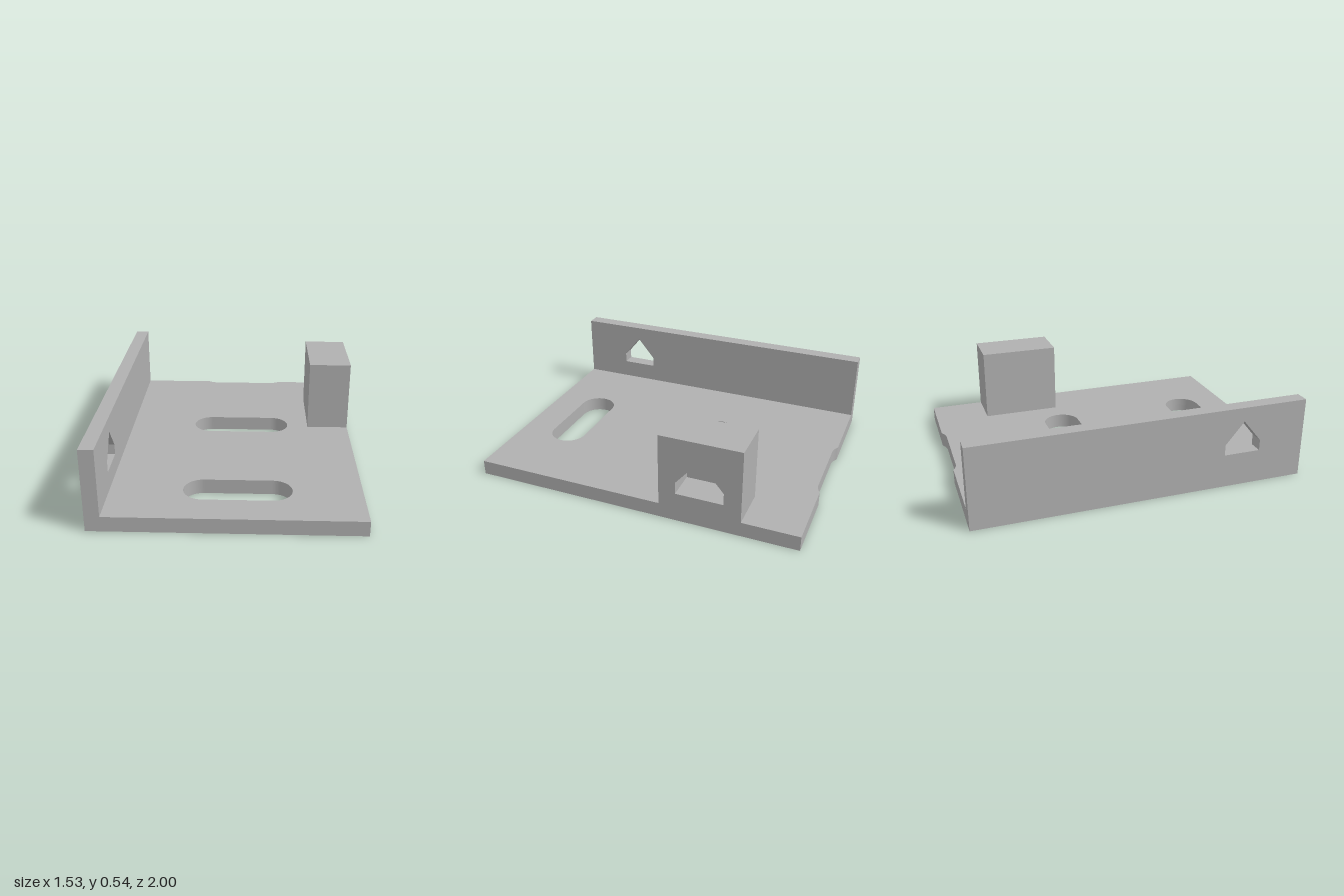
import * as THREE from 'three';

const HALF_X = 0.765, BASE_T = 0.09, WALL_X = -0.68;
const SLOT_R = 0.113, SLOT_L = -0.147, SLOT_RIGHT = 0.252;

function polygon(points) {
  return new THREE.Shape(points.map(([x, y]) => new THREE.Vector2(x, y)));
}

// Rounded slot across x, centred on the given z (shape y = -z)
function slot(z) {
  const p = new THREE.Path();
  p.absarc(SLOT_RIGHT, -z, SLOT_R, -Math.PI / 2, Math.PI / 2, false);
  p.absarc(SLOT_L, -z, SLOT_R, Math.PI / 2, Math.PI * 1.5, false);
  p.closePath();
  return p;
}

// House-shaped opening in a side profile (shape x = -z)
function house(z, halfWidth, bottom, shoulder, apex) {
  return polygon([
    [-z - halfWidth, bottom], [-z + halfWidth, bottom],
    [-z + halfWidth, shoulder], [-z, apex], [-z - halfWidth, shoulder],
  ]);
}

// Rectangle in the side profile, extruded along x from x0 to x1
function sideSlab(name, material, [z0, z1], [y0, y1], [x0, x1], hole) {
  const shape = polygon([[-z1, y0], [-z0, y0], [-z0, y1], [-z1, y1]]);
  if (hole) shape.holes.push(hole);
  const geometry = new THREE.ExtrudeGeometry(shape, { depth: x1 - x0, bevelEnabled: false });
  geometry.rotateY(Math.PI / 2).translate(x0, 0, 0);
  const mesh = new THREE.Mesh(geometry, material);
  mesh.name = name;
  return mesh;
}

export function createModel() {
  const group = new THREE.Group();
  group.name = 'bracket';
  const grey = new THREE.MeshStandardMaterial({ color: 0xb0b0b0 });
  grey.name = 'grey';

  // Base plate with two slots and a shallow notch in the back edge
  const base = new THREE.Shape();
  base.moveTo(WALL_X, -1);
  base.lineTo(HALF_X, -1);
  base.lineTo(HALF_X, 1);
  const notchZ = 1.09;
  const a = Math.asin((notchZ - 1) / SLOT_R);
  base.absarc(SLOT_RIGHT, notchZ, SLOT_R, -a, -Math.PI / 2, true);
  base.absarc(SLOT_L, notchZ, SLOT_R, -Math.PI / 2, -Math.PI + a, true);
  base.lineTo(WALL_X, 1);
  base.closePath();
  base.holes.push(slot(-0.203), slot(0.687));
  const baseGeometry = new THREE.ExtrudeGeometry(base, {
    depth: BASE_T, bevelEnabled: false, curveSegments: 24,
  });
  baseGeometry.rotateX(-Math.PI / 2);
  const plate = new THREE.Mesh(baseGeometry, grey);
  plate.name = 'basePlate';
  group.add(plate);

  // Long side wall with a through opening
  group.add(sideSlab('sideWall', grey, [-1, 1], [0, 0.49], [-HALF_X, WALL_X],
    house(0.603, 0.112, 0.205, 0.27, 0.405)));

  // Block with a blind pocket open to the outside
  const block = new THREE.Group();
  block.name = 'block';
  const blockZ = [-0.665, -0.178], blockY = [BASE_T, 0.535], pocketX = 0.585;
  block.add(
    sideSlab('blockBack', grey, blockZ, blockY, [0.5, pocketX]),
    sideSlab('blockPocket', grey, blockZ, blockY, [pocketX, HALF_X],
      house(-0.421, 0.142, 0.18, 0.252, 0.42)),
  );
  group.add(block);
  return group;
}
